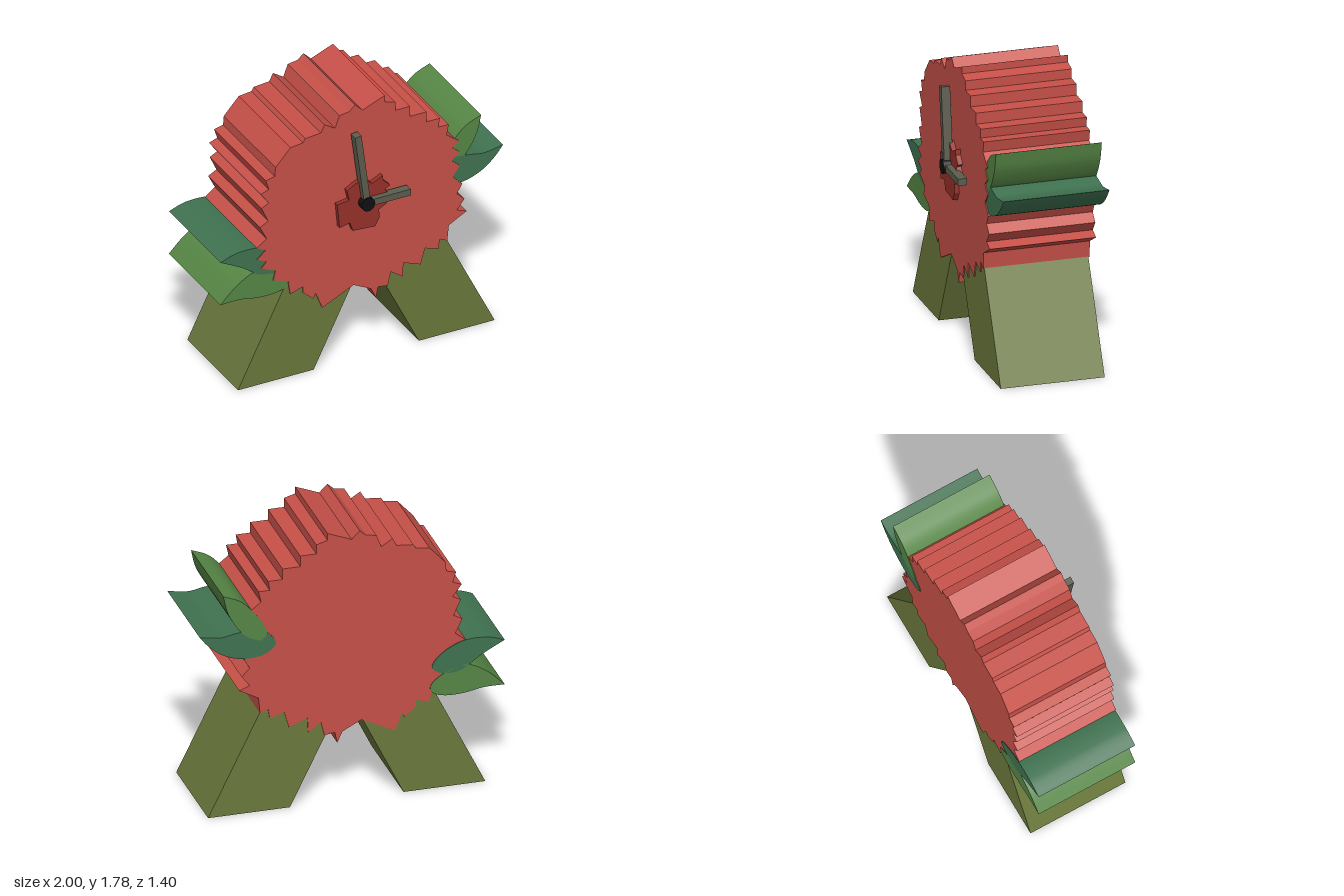
import * as THREE from 'three';
import { toCreasedNormals } from 'three/addons/utils/BufferGeometryUtils.js';

const RED = 0xc65048, DARK_RED = 0x96302a, OLIVE = 0x6a783c;
const LIGHT_GREEN = 0x568645, TEAL = 0x3f7250, HAND = 0x5c5c4e, BLACK = 0x101010;

// Pairs of numbers to 2D points
const pairs = (a) => Array.from({ length: a.length / 2 }, (_, i) => new THREE.Vector2(a[2 * i], a[2 * i + 1]));

function part(name, geometry, color, flatShading = true) {
  const mesh = new THREE.Mesh(geometry, new THREE.MeshStandardMaterial({ color, flatShading }));
  mesh.name = name;
  return mesh;
}

// Extrude a shape between two depths
function slab(shape, z0, z1) {
  const g = new THREE.ExtrudeGeometry(shape, { depth: z1 - z0, bevelEnabled: false, curveSegments: 24 });
  return g.translate(0, 0, z0);
}

// Pointed leaf: starts at its tip, curves round the base and returns to the tip
function leaf(name, color, outline) {
  const [tip, ...rest] = pairs(outline);
  const shape = new THREE.Shape();
  shape.moveTo(tip.x, tip.y);
  shape.splineThru([...rest, tip.clone()]);
  return part(name, toCreasedNormals(slab(shape, -0.336, 0.326), 0.6), color, false);
}

// Sheared leg that leans inwards into the body
function leg(name, x0, x1, lean) {
  const h = 0.75;
  const shape = new THREE.Shape(pairs([x0, 0, x1, 0, x1 + lean * h, h, x0 + lean * h, h]));
  return part(name, slab(shape, -0.325, 0.325), OLIVE);
}

// Hand pointing up from the pivot, then turned clockwise
function hand(name, length, angle) {
  const mesh = part(name, new THREE.BoxGeometry(0.043, length, 0.055).translate(0, length / 2, 0), HAND);
  mesh.position.set(0, 1.105, 0.372);
  mesh.rotation.z = -angle;
  return mesh;
}

export function createModel() {
  const model = new THREE.Group();
  model.name = 'flowerClock';
  const clock = new THREE.Group();
  clock.name = 'clock';
  clock.rotation.y = THREE.MathUtils.degToRad(-25);
  model.add(clock);

  // Thick body with a ragged petal edge, clockwise from the top
  const edge = pairs([
    -0.05, 1.775, 0, 1.725, 0.15, 1.785, 0.15, 1.74, 0.22, 1.72, 0.22, 1.66, 0.32, 1.66, 0.32, 1.59,
    0.43, 1.59, 0.43, 1.52, 0.52, 1.52, 0.51, 1.46, 0.58, 1.46, 0.565, 1.39, 0.65, 1.325, 0.605, 1.29,
    0.655, 1.245, 0.60, 1.20, 0.655, 1.15, 0.605, 1.085, 0.67, 1.02, 0.635, 0.96, 0.685, 0.91, 0.635, 0.845,
    0.70, 0.82, 0.58, 0.755, 0.57, 0.65, 0.52, 0.675, 0.51, 0.61, 0.42, 0.64, 0.39, 0.535, 0.275, 0.58,
    0.27, 0.485, 0.19, 0.54, 0.17, 0.45, 0.105, 0.46, 0.09, 0.39, 0.057, 0.46, -0.06, 0.52, -0.27, 0.42,
    -0.315, 0.535, -0.33, 0.50, -0.40, 0.56, -0.40, 0.605, -0.485, 0.575, -0.50, 0.67, -0.60, 0.705, -0.585, 0.77,
    -0.68, 0.81, -0.645, 0.85, -0.71, 0.88, -0.65, 0.93, -0.71, 0.96, -0.645, 1.01, -0.69, 1.10, -0.635, 1.13,
    -0.68, 1.23, -0.63, 1.255, -0.685, 1.33, -0.63, 1.35, -0.65, 1.415, -0.59, 1.43, -0.585, 1.49, -0.485, 1.60,
    -0.40, 1.61, -0.385, 1.635, -0.28, 1.645, -0.255, 1.695, -0.185, 1.65, -0.155, 1.73, -0.09, 1.74,
  ]);
  clock.add(part('body', slab(new THREE.Shape(edge), -0.332, 0.332), RED));

  // Legs
  clock.add(leg('leftLeg', 0.382, 0.892, -0.493), leg('rightLeg', -0.834, -0.325, 0.493));

  // Leaves, two on each side
  clock.add(
    leaf('leftUpperLeaf', LIGHT_GREEN,
      [0.80, 1.46, 0.69, 1.41, 0.60, 1.315, 0.53, 1.20, 0.56, 1.14, 0.63, 1.16, 0.70, 1.22, 0.77, 1.34]),
    leaf('leftLowerLeaf', TEAL,
      [0.948, 1.21, 0.82, 1.19, 0.72, 1.205, 0.60, 1.215, 0.51, 1.17, 0.475, 1.10, 0.55, 1.04, 0.68, 1.03, 0.80, 1.07, 0.89, 1.14]),
    leaf('rightUpperLeaf', TEAL,
      [-0.952, 0.925, -0.84, 0.96, -0.69, 0.955, -0.56, 0.89, -0.50, 0.81, -0.56, 0.76, -0.68, 0.765, -0.81, 0.85]),
    leaf('rightLowerLeaf', LIGHT_GREEN,
      [-0.952, 0.63, -0.84, 0.735, -0.72, 0.795, -0.60, 0.77, -0.50, 0.70, -0.50, 0.64, -0.58, 0.61, -0.70, 0.61, -0.82, 0.63])
  );

  // Small ragged flower behind the hands
  const flower = pairs([
    -0.06, 1.245, -0.01, 1.26, 0.05, 1.215, 0.12, 1.25, 0.125, 1.215, 0.17, 1.17, 0.135, 1.145, 0.178, 1.10,
    0.135, 1.065, 0.15, 1.05, 0.095, 1.02, 0.10, 0.965, 0.07, 0.91, -0.08, 0.92, -0.10, 0.98, -0.17, 0.965,
    -0.185, 1.13, -0.105, 1.14, -0.12, 1.21,
  ]);
  clock.add(part('centreFlower', slab(new THREE.Shape(flower), 0.32, 0.362), DARK_RED));

  // Hands and pivot
  clock.add(hand('minuteHand', 0.49, -0.13), hand('hourHand', 0.29, Math.PI / 2));
  const pivot = part('pivot', new THREE.CylinderGeometry(0.045, 0.045, 0.08, 24).rotateX(Math.PI / 2), BLACK, false);
  pivot.position.set(0, 1.105, 0.37);
  clock.add(pivot);

  return model;
}
